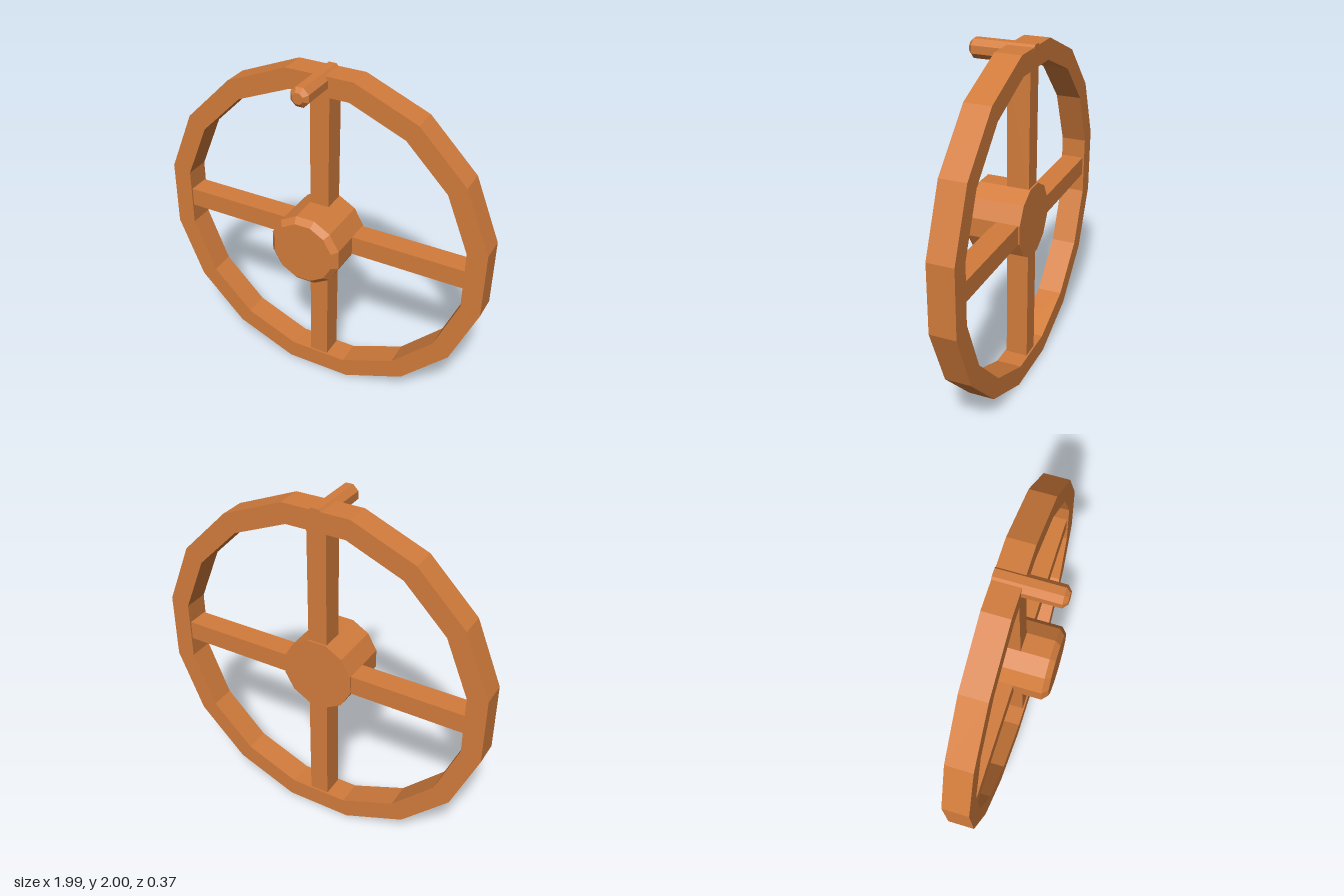
import * as THREE from 'three';

const CENTER_Y = 0.994;
const BACK = -0.185;

// Regular polygon with a flat side on top, sized by its apothem
function polygonPoints(apothem, sides) {
  const radius = apothem / Math.cos(Math.PI / sides);
  const points = [];
  for (let i = 0; i < sides; i++) {
    const a = ((i + 0.5) / sides) * Math.PI * 2;
    points.push(new THREE.Vector2(Math.cos(a) * radius, Math.sin(a) * radius));
  }
  return points;
}

// Faceted rod along z with a chamfered front end
function chamferedRod(apothem, capApothem, sides, back, chamferZ, front) {
  const k = 1 / Math.cos(Math.PI / sides);
  const profile = [
    [0, back], [apothem * k, back], [apothem * k, chamferZ], [capApothem * k, front], [0, front],
  ].map(([r, z]) => new THREE.Vector2(r, z));
  return new THREE.LatheGeometry(profile, sides, Math.PI / sides).rotateX(Math.PI / 2);
}

export function createModel() {
  const model = new THREE.Group();
  model.name = 'handWheel';
  const copper = new THREE.MeshStandardMaterial({ color: 0xd27c3c, flatShading: true });
  copper.name = 'copper';

  const add = (name, geometry, x, y, z) => {
    const mesh = new THREE.Mesh(geometry, copper);
    mesh.name = name;
    mesh.position.set(x, y, z);
    model.add(mesh);
  };

  // Sixteen-sided rim
  const rim = new THREE.Shape(polygonPoints(0.994, 16));
  rim.holes.push(new THREE.Path(polygonPoints(0.879, 16).reverse()));
  add('rim', new THREE.ExtrudeGeometry(rim, { depth: 0.15, bevelEnabled: false }), 0, CENTER_Y, BACK);

  // Four spokes, slightly thinner than the rim, reaching into hub and rim
  const names = ['leftSpoke', 'topSpoke', 'rightSpoke', 'bottomSpoke'];
  names.forEach((name, i) => {
    const spoke = new THREE.BoxGeometry(0.75, 0.114, 0.13);
    spoke.translate(0.525, 0, 0).rotateZ((i * Math.PI) / 2);
    add(name, spoke, 0, CENTER_Y, -0.11);
  });

  // Hub
  add('hub', chamferedRod(0.21, 0.178, 12, BACK, 0.12, 0.152), 0, CENTER_Y, 0);

  // Crank handle set into the top of the rim
  add('crankHandle', chamferedRod(0.053, 0.03, 8, BACK - 0.001, 0.163, 0.186), 0, 1.947, 0);

  return model;
}
